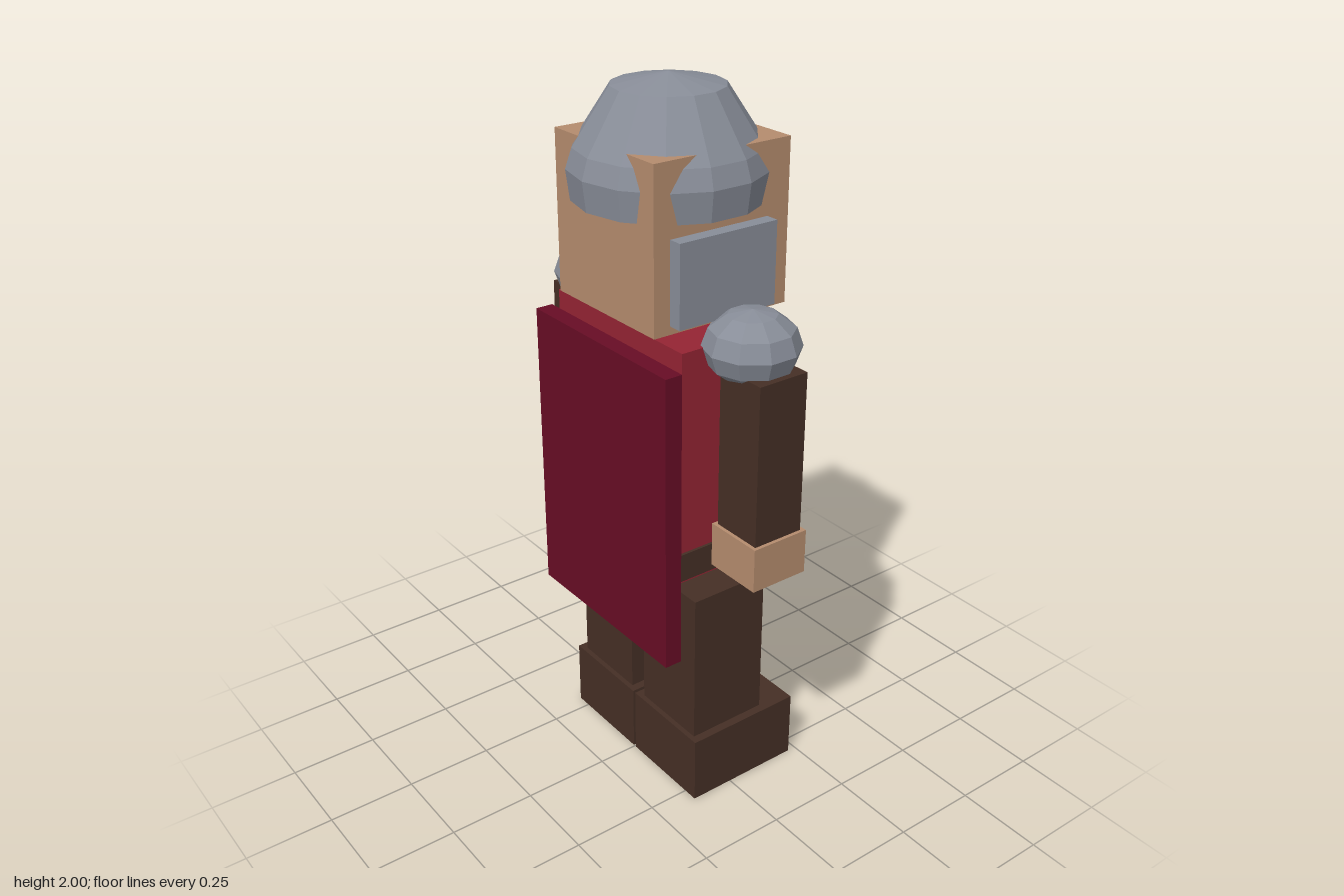
import * as THREE from 'three';

const paint = (name, color) => {
  const m = new THREE.MeshStandardMaterial({ color });
  m.name = name;
  return m;
};

export function createModel() {
  const steel = paint('steel', 0x888d98);
  steel.side = THREE.DoubleSide; // the helmet is an open shell
  const skin = paint('skin', 0xb58c6e);
  const red = paint('tunicRed', 0x942433);
  const leather = paint('leatherBrown', 0x452f25);
  const wine = paint('capeWine', 0x670d25);
  const gold = paint('buckleGold', 0xb09134);
  const eyeBrown = paint('eyeBrown', 0x40281a);

  const model = new THREE.Group();
  model.name = 'soldier';

  const add = (name, geometry, material) => {
    const mesh = new THREE.Mesh(geometry, material);
    mesh.name = name;
    model.add(mesh);
    return mesh;
  };
  // Box given by its limits along each axis
  const box = (name, material, [x0, x1], [y0, y1], [z0, z1]) => {
    const mesh = add(name, new THREE.BoxGeometry(x1 - x0, y1 - y0, z1 - z0), material);
    mesh.position.set((x0 + x1) / 2, (y0 + y1) / 2, (z0 + z1) / 2);
  };
  // Separate the faces so that each one is shaded flat
  const faceted = (geometry) => {
    const g = geometry.toNonIndexed();
    g.computeVertexNormals();
    return g;
  };

  // Body; the figure looks along +x
  box('torso', red, [-0.167, 0.173], [0.735, 1.39], [-0.273, 0.273]);
  box('belt', leather, [-0.177, 0.187], [0.745, 0.825], [-0.281, 0.281]);
  box('buckle', gold, [0.18, 0.198], [0.747, 0.822], [-0.04, 0.04]);
  box('cape', wine, [-0.23, -0.18], [0.5, 1.345], [-0.29, 0.29]);

  // Head and nose guard
  box('head', skin, [-0.203, 0.215], [1.415, 1.85], [-0.208, 0.208]);
  box('noseGuard', steel, [0.222, 0.26], [1.515, 1.71], [-0.025, 0.025]);

  // Helmet dome with fourteen sides
  const profile = [[0.25, 1.69], [0.26, 1.77], [0.243, 1.823], [0.147, 1.97], [0, 2]]
    .map(([r, y]) => new THREE.Vector2(r, y));
  const helmet = add('helmet', faceted(new THREE.LatheGeometry(profile, 14).rotateY(Math.PI / 2)), steel);
  helmet.position.x = -0.003;

  // Paired parts
  for (const [side, s] of [['left', 1], ['right', -1]]) {
    const span = (a, b) => [Math.min(s * a, s * b), Math.max(s * a, s * b)];
    box(side + 'Boot', leather, [-0.13, 0.225], [0, 0.2], span(0.005, 0.293));
    box(side + 'Leg', leather, [-0.115, 0.125], [0.2, 0.65], span(0.03, 0.268));
    box(side + 'Arm', leather, [-0.07, 0.08], [0.895, 1.34], span(0.302, 0.453));
    box(side + 'Hand', skin, [-0.08, 0.092], [0.77, 0.895], span(0.291, 0.463));
    box(side + 'Eye', eyeBrown, [0.21, 0.226], [1.63, 1.7], span(0.065, 0.115));
    box(side + 'CheekGuard', steel, [-0.165, 0.135], [1.445, 1.665], span(0.222, 0.26));
    const pad = add(side + 'ShoulderPad', faceted(new THREE.SphereGeometry(0.127, 10, 6)), steel);
    pad.scale.y = 0.76;
    pad.position.set(0.005, 1.388, s * 0.33);
  }
  return model;
}
